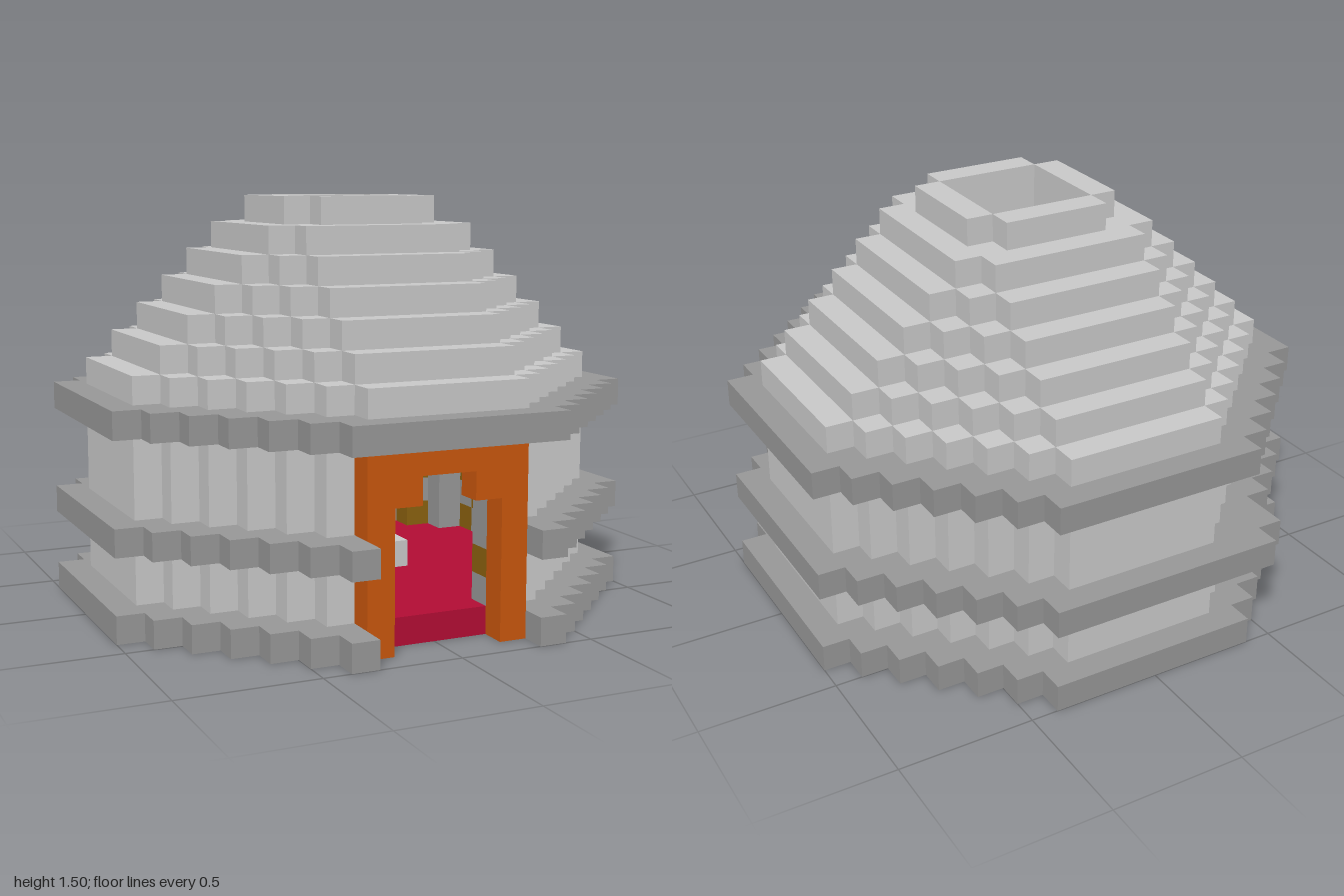
import * as THREE from 'three';
import { mergeGeometries } from 'three/addons/utils/BufferGeometryUtils.js';

const CELL = 0.1;
const paint = (name, color) => Object.assign(new THREE.MeshStandardMaterial({ color }), { name });

// Distance of a cell's outer edge from the middle, in cells
const reach = (i) => (i < 0 ? -i : i + 1);
// Stepped octagon: half width m, corners cut where the two reaches exceed s
const oct = (i, j, m, s) =>
  Math.max(reach(i), reach(j)) <= m && reach(i) + reach(j) <= s;

export function createModel() {
  const felt = paint('light felt', 0xc9c9c9);
  const rope = paint('grey band', 0x979797);
  const orange = paint('orange wood', 0xc9560d);
  const crimson = paint('crimson carpet', 0xb20d34);
  const brown = paint('brown lattice', 0x8a610f);

  const parts = {
    wall: felt, roof: felt, bands: rope, doorFrame: orange, crownRing: orange, rafters: orange,
    carpet: crimson, hearth: felt, hearthFire: crimson, latticeBacking: rope, latticeSlats: brown,
  };
  const cells = new Map();
  const key = (i, y, j) => `${i},${y},${j}`;
  const put = (part, i, y, j) => cells.set(key(i, y, j), { part, i, y, j });

  for (let i = -10; i < 10; i++) for (let j = -10; j < 10; j++) {
    const a = reach(i);
    const inRing = (m, s, m2, s2) => oct(i, j, m, s) && !oct(i, j, m2, s2);
    const doorway = j > 0 && a <= 3;

    for (let y = 0; y < 8; y++) {
      // Felt wall, with the door frame set into it
      if (inRing(9, 12, 8, 11)) {
        const open = a <= (y < 5 ? 2 : y < 6 ? 1 : 0);
        if (!doorway || y === 7) put('wall', i, y, j);
        else if (!open) put('doorFrame', i, y, j);
      }
      // Lattice lining with crossing diagonal slats
      if (inRing(8, 11, 7, 10) && !(j > 0 && a <= 2 && y < 6)) {
        const u = reach(j) >= a ? i : j;
        const slat = (u - y) % 4 === 0 || (u + y) % 4 === 0;
        put(slat ? 'latticeSlats' : 'latticeBacking', i, y, j);
      }
    }

    // Three bands around the wall, the lower two broken at the door
    for (const y of [0, 3, 7]) {
      const knot = y === 3 && ((i === -5 && j === -10) || (i === -6 && j === -9));
      if (knot || (inRing(10, 14, 9, 12) && (y === 7 || !doorway))) put('bands', i, y, j);
    }

    // Carpet and square hearth
    const h = Math.max(a, reach(j));
    const threshold = j === 7 && a <= 2;
    if (h <= 1) put('hearthFire', i, 0, j);
    else if (h <= 2) { put('hearth', i, 0, j); put('hearth', i, 1, j); }
    else if (oct(i, j, 7, 10) || threshold) put('carpet', i, 0, j);

    // Stepped roof around a square smoke hole, lined with rafters
    for (let k = 0; k < 7; k++) {
      const m = 9 - k, y = 8 + k;
      const inner = Math.max(2, m - 2);
      const innerSum = k > 4 ? 4 : inner + 3;
      if (inRing(m, k === 6 ? 5 : m + 3, inner, innerSum)) put('roof', i, y, j);
      else if (k === 4 && oct(i, j, 3, 6) && h > 2) put('crownRing', i, y, j);
      else if (k < 4 && inRing(inner, innerSum, inner - 1, innerSum - 1)
        && (reach(j) >= a ? i : j) % 3 === 0) put('rafters', i, y, j);
    }
  }

  // Six cell faces, each turned outwards
  const faces = [
    [0, 0, 1, 0, 0], [0, 0, -1, 0, Math.PI], [1, 0, 0, 0, Math.PI / 2],
    [-1, 0, 0, 0, -Math.PI / 2], [0, 1, 0, -Math.PI / 2, 0], [0, -1, 0, Math.PI / 2, 0],
  ].map(([x, y, z, rx, ry]) => ({
    x, y, z,
    plane: new THREE.PlaneGeometry(CELL, CELL).rotateX(rx).rotateY(ry)
      .translate((x * CELL) / 2, (y * CELL) / 2, (z * CELL) / 2),
  }));

  // Keep only the faces with no neighbouring cell
  const shells = {};
  for (const { part, i, y, j } of cells.values()) {
    for (const f of faces) {
      if (cells.has(key(i + f.x, y + f.y, j + f.z))) continue;
      (shells[part] ??= []).push(f.plane.clone()
        .translate((i + 0.5) * CELL, (y + 0.5) * CELL, (j + 0.5) * CELL));
    }
  }

  const model = new THREE.Group();
  model.name = 'yurt';
  for (const [name, list] of Object.entries(shells)) {
    const mesh = new THREE.Mesh(mergeGeometries(list), parts[name]);
    mesh.name = name;
    model.add(mesh);
  }
  return model;
}
